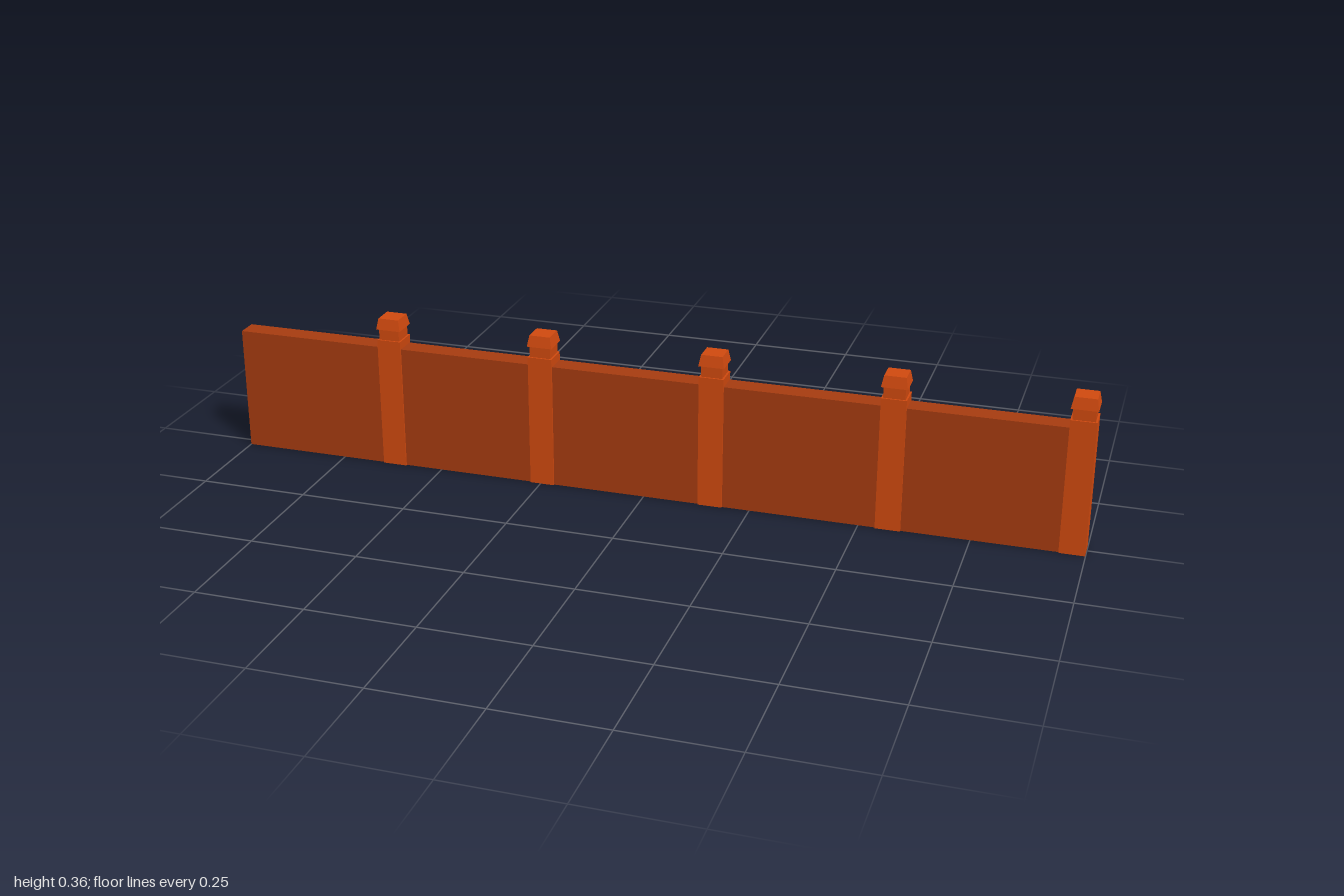
import * as THREE from 'three';

const wallMaterial = new THREE.MeshStandardMaterial({ color: 0xa83c10 });
wallMaterial.name = 'dark brick';
const postMaterial = new THREE.MeshStandardMaterial({ color: 0xd24a0f });
postMaterial.name = 'bright brick';

function addBox(parent, name, material, [w, h, d], [x, y, z]) {
  const mesh = new THREE.Mesh(new THREE.BoxGeometry(w, h, d), material);
  mesh.name = name;
  mesh.position.set(x, y + h / 2, z);
  parent.add(mesh);
}

// Square block that narrows from bottom to top, with flat faces
function taperedBlock(bottom, top, height) {
  const geometry = new THREE.CylinderGeometry(top / Math.SQRT2, bottom / Math.SQRT2, height, 4)
    .rotateY(Math.PI / 4)
    .toNonIndexed();
  geometry.computeVertexNormals();
  return geometry;
}

function createPost(x) {
  const post = new THREE.Group();
  post.name = 'post';
  addBox(post, 'shaft', postMaterial, [0.057, 0.312, 0.057], [0, 0, 0]);
  addBox(post, 'neck', postMaterial, [0.049, 0.026, 0.049], [0, 0.312, 0]);
  const cap = new THREE.Mesh(taperedBlock(0.059, 0.049, 0.026), postMaterial);
  cap.name = 'cap';
  cap.position.y = 0.351;
  post.add(cap);
  post.position.x = x;
  return post;
}

export function createModel() {
  const model = new THREE.Group();
  model.name = 'wallSection';

  // Long plain wall, slightly thinner than the posts
  addBox(model, 'wall', wallMaterial, [1.99, 0.293, 0.049], [-0.005, 0, 0]);

  // Posts along the wall, the last one closing its left end
  for (const x of [-0.618, -0.246, 0.158, 0.567, 0.9705]) model.add(createPost(x));
  return model;
}
